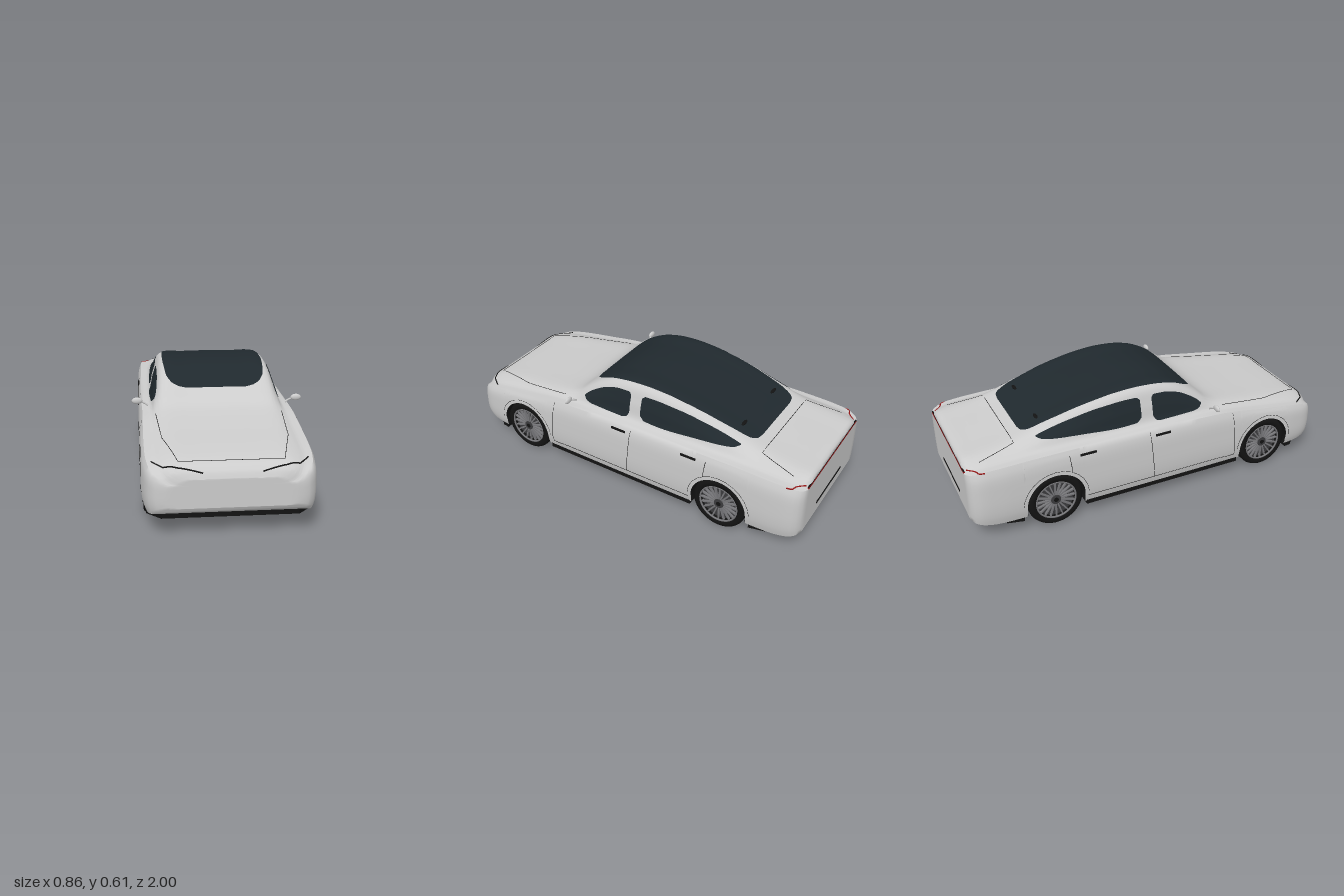
import * as THREE from 'three';
import { mergeGeometries, toCreasedNormals } from 'three/addons/utils/BufferGeometryUtils.js';

const mat = (color) => new THREE.MeshStandardMaterial({ color, side: THREE.DoubleSide });
const PAINT = mat(0xcccccc), GLASS = mat(0x20292e), BLACK = mat(0x131313);
const RED = mat(0x991515), RIM = mat(0x77777a), DARK = mat(0x3c3c3e);
const AXLES = [0.645, -0.578], HUB_Y = 0.148, ARCH = 0.153;

// Monotone cubic through [position, value] pairs
function profile(pts) {
  const n = pts.length, d = [], m = [];
  for (let i = 0; i < n - 1; i++) d[i] = (pts[i + 1][1] - pts[i][1]) / (pts[i + 1][0] - pts[i][0]);
  for (let i = 1; i < n - 1; i++) m[i] = d[i - 1] * d[i] > 0 ? 2 / (1 / d[i - 1] + 1 / d[i]) : 0;
  m[0] = d[0]; m[n - 1] = d[n - 2];
  return (x) => {
    let i = 0;
    while (i < n - 2 && x > pts[i + 1][0]) i++;
    const h = pts[i + 1][0] - pts[i][0], t = THREE.MathUtils.clamp((x - pts[i][0]) / h, 0, 1);
    const a = t * t * (3 - 2 * t), b = t * (1 - t) * (1 - t), c = t * t * (t - 1);
    return pts[i][1] * (1 - a) + pts[i + 1][1] * a + h * (b * m[i] + c * m[i + 1]);
  };
}

// Body shape along z: half width, centre top, shoulder, roof edge, lower edge
const width = profile([[-1, 0.335], [-0.985, 0.362], [-0.95, 0.383], [-0.9, 0.392], [-0.8, 0.398], [-0.5, 0.4],
  [0.6, 0.4], [0.8, 0.397], [0.9, 0.386], [0.95, 0.37], [0.98, 0.345], [0.995, 0.31], [1, 0.28]]);
const top = profile([[-1, 0.412], [-0.985, 0.427], [-0.9, 0.438], [-0.75, 0.458], [-0.65, 0.488], [-0.6, 0.508],
  [-0.5, 0.54], [-0.4, 0.568], [-0.3, 0.588], [-0.2, 0.604], [-0.08, 0.613], [0, 0.61], [0.1, 0.592], [0.2, 0.55],
  [0.27, 0.505], [0.34, 0.452], [0.4, 0.428], [0.6, 0.392], [0.8, 0.365], [0.9, 0.348], [0.95, 0.333], [0.985, 0.305], [1, 0.275]]);
const shoulder = profile([[-1, 0.39], [-0.9, 0.407], [-0.6, 0.415], [0, 0.41], [0.35, 0.4],
  [0.6, 0.368], [0.9, 0.318], [0.97, 0.29], [1, 0.25]]);
const roofEdge = profile([[-1, 0.25], [-0.6, 0.255], [-0.2, 0.275], [0.27, 0.275], [1, 0.25]]);
const base = profile([[-1, 0.13], [-0.97, 0.11], [-0.85, 0.095], [0, 0.09], [0.85, 0.095], [0.96, 0.11], [1, 0.145]]);
const bulge = profile([[0, 0.96], [0.15, 0.988], [0.4, 1], [0.75, 0.995], [0.9, 0.98], [1, 0.95]]);
const SIDE = 12, UPPER = 30;

// Half cross-section from the sill (or wheel arch) up to the roof centre
function section(z) {
  const W = width(z), T = top(z), S = shoulder(z), h = T - S, b = base(z);
  let low = b;
  for (const c of AXLES) {
    const r = ARCH * ARCH - (z - c) ** 2;
    if (r >= -1e-9) low = Math.max(low, HUB_Y + Math.sqrt(Math.max(r, 0)));
  }
  const pts = [];
  for (let i = 0; i < SIDE; i++) {
    const y = low + (S - low) * i / SIDE;
    pts.push([W * bulge((y - b) / (S - b)), y]);
  }
  const R = Math.min(roofEdge(z), W * 0.72), G = Math.min(0.338, W * 0.86), E = T - 0.05 * h;
  const upper = new THREE.CatmullRomCurve3([[0.95 * W, S], [G, S + 0.1 * h], [(G + R) / 2 + 0.006, S + 0.55 * h],
    [R, E], [R * 0.5, T - 0.25 * (T - E)], [0, T]].map(([x, y]) => new THREE.Vector3(x, y, 0)));
  for (const p of upper.getPoints(UPPER)) pts.push([p.x, p.y]);
  return pts;
}

// Body half width at a height, and body height at an x
function sideX(z, y) {
  const p = section(z);
  let i = 1;
  while (i < p.length - 1 && p[i][1] < y) i++;
  const t = THREE.MathUtils.clamp((y - p[i - 1][1]) / (p[i][1] - p[i - 1][1]), 0, 1);
  return p[i - 1][0] + (p[i][0] - p[i - 1][0]) * t;
}
function topY(z, x) {
  const p = section(z);
  let i = p.length - 1;
  while (i > SIDE && p[i - 1][0] < Math.abs(x)) i--;
  const t = THREE.MathUtils.clamp((Math.abs(x) - p[i][0]) / (p[i - 1][0] - p[i][0]), 0, 1);
  return p[i][1] + (p[i - 1][1] - p[i][1]) * t;
}

// Grid surface from fn(i, j) -> [x, y, z]
function grid(rows, cols, fn, flip = false) {
  const pos = [], idx = [];
  for (let i = 0; i < rows; i++) for (let j = 0; j < cols; j++) pos.push(...fn(i, j));
  for (let i = 0; i < rows - 1; i++) for (let j = 0; j < cols - 1; j++) {
    const a = i * cols + j, b = a + 1, c = a + cols, d = c + 1;
    idx.push(...(flip ? [a, c, b, b, c, d] : [a, b, c, b, d, c]));
  }
  const g = new THREE.BufferGeometry();
  g.setAttribute('position', new THREE.Float32BufferAttribute(pos, 3));
  g.setIndex(idx);
  return g;
}

function bodyGeometry() {
  const zs = [-0.995, -0.99, 0.985, 0.99, 0.995, 0.998];
  for (let i = 0; i <= 100; i++) zs.push(-1 + i * 0.02);
  for (const c of AXLES) {
    for (let i = 0; i <= 24; i++) zs.push(c - ARCH * Math.cos(Math.PI * i / 24));
    zs.push(c - ARCH - 0.0005, c + ARCH + 0.0005);
  }
  zs.sort((a, b) => a - b);
  const half = zs.map(section), n = half[0].length;
  const shell = grid(zs.length, 2 * n - 1, (i, j) => {
    const [x, y] = half[i][j < n ? j : 2 * n - 2 - j];
    return [j < n ? x : -x, y, zs[i]];
  });
  const cols = [1, 0.9, 0.5, 0, -0.5, -0.9, -1];
  const cap = (k, flip) => grid(cols.length, n, (i, j) => [half[k][j][0] * cols[i], half[k][j][1], zs[k]], flip);
  // Floor pans ahead of and behind the wheels
  const pan = (test) => {
    const ks = zs.map((z, k) => k).filter((k) => test(zs[k]));
    return grid(ks.length, 2, (i, j) => [half[ks[i]][0][0] * (j ? -1 : 1), half[ks[i]][0][1], zs[ks[i]]], true);
  };
  return toCreasedNormals(mergeGeometries([shell, cap(zs.length - 1, false), cap(0, true),
    pan((z) => z > 0.81), pan((z) => z < -0.74)]), 0.9);
}

export function createModel() {
  const car = new THREE.Group();
  const add = (name, geo, material, x = 0, y = 0, z = 0, parent = car) => {
    const m = new THREE.Mesh(geo, material);
    m.name = name;
    m.position.set(x, y, z);
    parent.add(m);
    return m;
  };
  const box = (x, y, z) => new THREE.BoxGeometry(x, y, z);
  // Thin tube hugging the body along a polyline of [a, b] mapped to the surface
  const seam = (name, pts, map, r = 0.0014, material = BLACK) => {
    const out = [];
    for (let i = 0; i < pts.length - 1; i++) for (let k = i ? 1 : 0; k <= 8; k++) {
      const t = k / 8;
      out.push(map(pts[i][0] * (1 - t) + pts[i + 1][0] * t, pts[i][1] * (1 - t) + pts[i + 1][1] * t));
    }
    add(name, new THREE.TubeGeometry(new THREE.CatmullRomCurve3(out), out.length * 2, r, 5), material);
  };
  const onTop = (x, z) => new THREE.Vector3(x, topY(z, x) + 0.0005, z);

  add('body', bodyGeometry(), PAINT);

  // Windscreen, roof and rear window in one sheet of glass
  const roofHalf = profile([[-0.685, 0.16], [-0.678, 0.2], [-0.65, 0.225], [-0.6, 0.237], [-0.3, 0.26], [0, 0.267],
    [0.18, 0.255], [0.235, 0.232], [0.262, 0.195], [0.272, 0.15]]);
  add('roofGlass', grid(81, 33, (i, j) => {
    const z = -0.685 + 0.957 * (0.5 - 0.5 * Math.cos(Math.PI * i / 80)), x = roofHalf(z) * (1 - j / 16);
    return [x, topY(z, x) + 0.004, z];
  }), GLASS).geometry.computeVertexNormals();

  // Side windows as lower and upper outlines over z
  const windows = {
    frontSideWindow: [[[-0.015, 0.46], [0, 0.436], [0.03, 0.43], [0.22, 0.43], [0.255, 0.437], [0.275, 0.455]],
      [[-0.015, 0.555], [0, 0.568], [0.06, 0.565], [0.14, 0.545], [0.2, 0.515], [0.25, 0.482], [0.275, 0.458]]],
    rearSideWindow: [[[-0.63, 0.477], [-0.6, 0.466], [-0.4, 0.452], [-0.2, 0.44], [-0.11, 0.443], [-0.08, 0.465]],
      [[-0.63, 0.481], [-0.6, 0.491], [-0.45, 0.53], [-0.3, 0.558], [-0.15, 0.57], [-0.1, 0.57], [-0.08, 0.555]]],
  };
  for (const s of [1, -1]) {
    for (const [name, [lo, hi]] of Object.entries(windows)) {
      const low = profile(lo), high = profile(hi), z0 = lo[0][0], z1 = lo[lo.length - 1][0];
      add(name, grid(41, 15, (i, j) => {
        const z = z0 + (z1 - z0) * (0.5 - 0.5 * Math.cos(Math.PI * i / 40));
        const y = low(z) + (high(z) - low(z)) * j / 14;
        return [s * (sideX(z, y) + 0.004), y, z];
      }, s < 0), GLASS).geometry.computeVertexNormals();
    }

    // Door, bonnet, boot and arch seams
    const onSide = (z, y) => new THREE.Vector3(s * (sideX(z, y) + 0.0003), y, z);
    seam('frontDoorSeam', [[0.435, 0.385], [0.46, 0.13], [-0.41, 0.13]], onSide);
    seam('centreDoorSeam', [[-0.06, 0.4], [-0.033, 0.13]], onSide);
    seam('rearDoorSeam', [[-0.5, 0.39], [-0.49, 0.3]], onSide);
    for (const c of AXLES) {
      const arc = [];
      for (let i = 0; i <= 12; i++) {
        const a = Math.PI * (0.02 + 0.96 * i / 12);
        arc.push([c + 0.173 * Math.cos(a), HUB_Y + 0.173 * Math.sin(a)]);
      }
      seam('archSeam', arc, onSide, 0.001);
    }
    seam('bonnetSeam', [[s * 0.315, 0.41], [s * 0.295, 0.69], [s * 0.235, 0.935]], onTop);
    seam('bootSeam', [[s * 0.3, -0.92], [s * 0.26, -0.735]], onTop);

    // Lights, handles, mirrors
    seam('headlight', [[s * 0.35, 0.88], [s * 0.3, 0.945], [s * 0.24, 0.968], [s * 0.13, 0.988]], onTop, 0.0035);
    seam('cornerTailLight', [[-0.915, 0.403], [-0.985, 0.4]], onSide, 0.0035, RED);
    for (const z of [0.013, -0.402]) add('doorHandle', box(0.01, 0.01, 0.085), BLACK, s * (sideX(z, 0.38) + 0.001), 0.38, z);
    add('mirror', new THREE.SphereGeometry(1, 24, 16).scale(0.027, 0.017, 0.011), PAINT, s * 0.405, 0.456, 0.318);
    add('mirrorStalk', new THREE.TubeGeometry(new THREE.CatmullRomCurve3([
      new THREE.Vector3(s * 0.35, 0.43, 0.31), new THREE.Vector3(s * 0.37, 0.443, 0.31),
      new THREE.Vector3(s * 0.39, 0.452, 0.316)]), 10, 0.005, 8), PAINT);
    add('roofMarker', new THREE.SphereGeometry(1, 16, 8).scale(0.028, 0.006, 0.01), BLACK, s * 0.165, topY(-0.585, 0.165) + 0.003, -0.585);
    add('lowerReflector', box(0.03, 0.01, 0.01), RED, s * 0.22, 0.098, -0.965);
  }
  seam('bonnetFrontSeam', [[-0.235, 0.935], [0.235, 0.935]], onTop);
  seam('bootFrontSeam', [[-0.26, -0.735], [0.26, -0.735]], onTop);
  add('tailLightBar', box(0.62, 0.007, 0.008), RED, 0, 0.392, -0.998);
  add('tailTrim', box(0.62, 0.004, 0.006), BLACK, 0, 0.398, -0.998);
  add('rearSlot', box(0.32, 0.014, 0.006), BLACK, 0, 0.19, -0.999);

  // Flat underbody with wheel notches, and diffuser fins
  const half = [[0.31, 0.92], [0.375, 0.85], [0.38, 0.81], [0.27, 0.81], [0.27, 0.48], [0.385, 0.48], [0.385, -0.415],
    [0.27, -0.415], [0.27, -0.745], [0.38, -0.745], [0.36, -0.83]];
  const outline = [...half, ...half.map(([x, z]) => [-x, z]).reverse()].map(([x, z]) => new THREE.Vector2(x, z));
  add('underbody', new THREE.ExtrudeGeometry(new THREE.Shape(outline), { depth: 0.03, bevelEnabled: false }).rotateX(Math.PI / 2), BLACK, 0, 0.1, 0);
  for (let i = -3; i <= 3; i++) add('diffuserFin', box(0.007, 0.03, 0.13), BLACK, i * 0.085, 0.094, -0.89).rotation.x = 0.1;

  // Wheels and wheel wells
  const tyre = new THREE.LatheGeometry([[0.106, -0.05], [0.128, -0.051], [0.14, -0.046], [0.145, -0.034], [0.145, 0.034],
    [0.14, 0.046], [0.128, 0.051], [0.106, 0.05], [0.1, 0.03]].map(([r, y]) => new THREE.Vector2(r, y)), 56).rotateZ(-Math.PI / 2);
  const disc = (r, w) => new THREE.CylinderGeometry(r, r, w, 40).rotateZ(Math.PI / 2);
  for (const s of [1, -1]) for (const z of AXLES) {
    const wheel = new THREE.Group();
    wheel.name = z > 0 ? 'frontWheel' : 'rearWheel';
    wheel.position.set(s * 0.336, HUB_Y, z);
    wheel.rotation.y = s > 0 ? 0 : Math.PI;
    add('tyre', tyre, BLACK, 0, 0, 0, wheel);
    add('wheelDisc', disc(0.106, 0.06), DARK, 0, 0, 0, wheel);
    add('rimRing', new THREE.TorusGeometry(0.104, 0.005, 8, 48).rotateY(Math.PI / 2), RIM, 0.047, 0, 0, wheel);
    for (let i = 0; i < 20; i++) {
      const a = i * Math.PI / 10;
      add('spoke', box(0.012, 0.082, 0.007), RIM, 0.037, 0.062 * Math.cos(a), 0.062 * Math.sin(a), wheel).rotation.x = a;
    }
    add('hub', disc(0.026, 0.02), DARK, 0.037, 0, 0, wheel);
    add('hubCap', disc(0.012, 0.02), BLACK, 0.04, 0, 0, wheel);
    car.add(wheel);
    add('wheelWell', new THREE.CylinderGeometry(0.155, 0.155, 0.12, 40, 1, true, -0.3, Math.PI + 0.6).rotateZ(Math.PI / 2), BLACK, s * 0.33, HUB_Y, z);
    add('wheelWellWall', new THREE.CircleGeometry(0.155, 40, -0.3, Math.PI + 0.6).rotateY(Math.PI / 2), BLACK, s * 0.27, HUB_Y, z);
  }
  return car;
}
